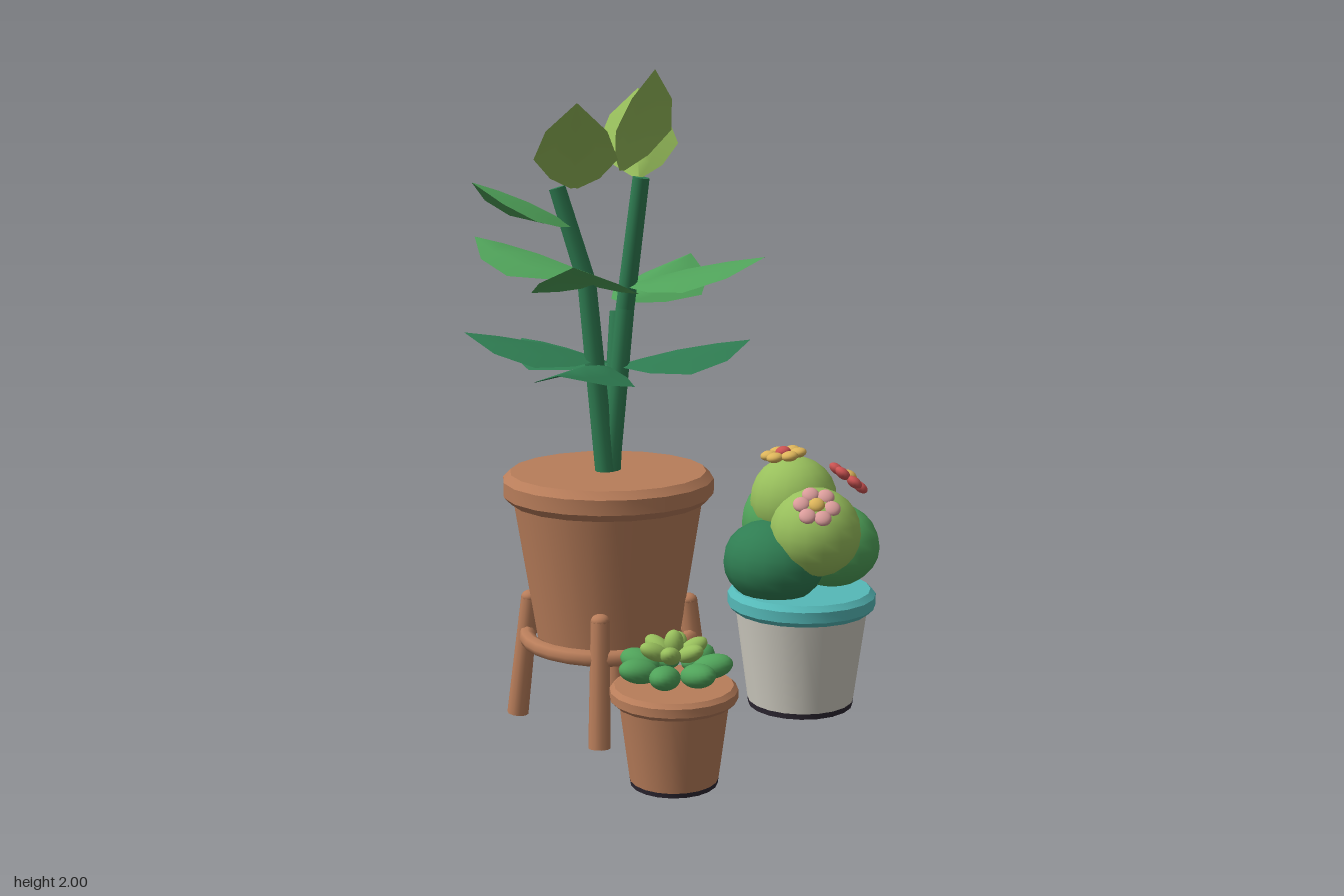
import * as THREE from 'three';
import { toCreasedNormals } from 'three/addons/utils/BufferGeometryUtils.js';

const mat = (name, color, side = THREE.FrontSide) => {
  const m = new THREE.MeshStandardMaterial({ color, side });
  m.name = name;
  return m;
};
const V = (x, y, z) => new THREE.Vector3(x, y, z);
const UP = V(0, 1, 0);

export function createModel() {
  const root = new THREE.Group();
  root.name = 'pottedPlants';
  const M = {
    clay: mat('terracotta', 0xb87d5a),
    base: mat('darkBase', 0x2c2631),
    white: mat('offWhite', 0xcfccc1),
    teal: mat('teal', 0x55b9b8),
    dark: mat('darkGreen', 0x2f7d52, THREE.DoubleSide),
    mid: mat('midGreen', 0x50a35a, THREE.DoubleSide),
    light: mat('lightGreen', 0x98bf5c, THREE.DoubleSide),
    yellow: mat('yellow', 0xdcb45a),
    red: mat('red', 0xcc5352),
    pink: mat('pink', 0xdb9d9b),
  };

  const add = (parent, name, geo, material, pos) => {
    const mesh = new THREE.Mesh(geo, material);
    mesh.name = name;
    if (pos) mesh.position.copy(pos);
    parent.add(mesh);
    return mesh;
  };
  const group = (parent, name, x = 0, y = 0, z = 0) => {
    const g = new THREE.Group();
    g.name = name;
    g.position.set(x, y, z);
    parent.add(g);
    return g;
  };
  const lathe = (pts, sides = 20) => toCreasedNormals(
    new THREE.LatheGeometry(pts.map(p => new THREE.Vector2(...p)), sides), 0.7);
  // Tapered rod between two points
  const rod = (parent, name, a, b, ra, rb, material) => {
    const d = b.clone().sub(a);
    const m = add(parent, name, new THREE.CylinderGeometry(rb, ra, d.length(), 10), material,
      a.clone().lerp(b, 0.5));
    m.quaternion.setFromUnitVectors(UP, d.normalize());
  };
  const ball = (parent, name, pos, size, material) => {
    const m = add(parent, name, new THREE.SphereGeometry(1, 16, 12), material, V(...pos));
    m.scale.set(...size);
    return m;
  };
  // Rim with softened edges and a flat closed top
  const rim = (r, y0, y1, inner) => {
    const b = (y1 - y0) * 0.25;
    return lathe([[inner, y0], [r - b, y0], [r, y0 + b], [r, y1 - b], [r - b, y1], [0, y1]]);
  };

  // Large pot
  const big = group(root, 'largePot', -0.195, 0, -0.09);
  add(big, 'potBody', lathe([[0, 0.27], [0.215, 0.27], [0.29, 0.74]], 24), M.clay);
  add(big, 'potRim', rim(0.32, 0.72, 0.81, 0.27), M.clay);

  // Stand with a ring and four splayed legs
  const stand = group(big, 'stand');
  const ring = add(stand, 'standRing', new THREE.TorusGeometry(0.252, 0.025, 8, 28), M.clay, V(0, 0.297, 0));
  ring.rotation.x = Math.PI / 2;
  for (let i = 0; i < 4; i++) {
    const a = 0.96 + i * Math.PI / 2, c = Math.cos(a), s = Math.sin(a);
    const top = V(c * 0.243, 0.41, s * 0.243);
    rod(stand, 'standLeg', V(c * 0.287, 0.035, s * 0.287), top, 0.033, 0.028, M.clay);
    ball(stand, 'legCap', top.toArray(), [0.028, 0.02, 0.028], M.clay);
  }

  // Leafy plant stems
  const plant = group(root, 'leafyPlant');
  const stems = [
    [[-0.205, 0.79, -0.09], [-0.24, 1.38, -0.13], [-0.3, 1.66, -0.19]],
    [[-0.19, 0.79, -0.09], [-0.148, 1.3, -0.06], [-0.143, 1.69, 0]],
    [[-0.185, 0.79, -0.09], [-0.09, 1.28, -0.135]],
  ];
  for (const s of stems) {
    for (let i = 0; i + 1 < s.length; i++)
      rod(plant, 'stem', V(...s[i]), V(...s[i + 1]), 0.031 - i * 0.003, 0.028 - i * 0.003, M.dark);
  }

  // Pointed leaf: ridge along the middle, edges folded down
  const leafGeo = (a, b, width, fold) => {
    const dir = b.clone().sub(a);
    const side = dir.clone().cross(UP).normalize();
    const nor = side.clone().cross(dir).normalize();
    const rows = [[0, 0.08], [0.18, 0.6], [0.45, 1], [0.75, 0.72], [1, 0.01]];
    const pos = [], idx = [];
    rows.forEach(([t, w], r) => {
      for (let j = -2; j <= 2; j++) {
        const k = j / 2 * w * width;
        const drop = -Math.abs(j / 2) * w * width * fold + Math.sin(t * Math.PI) * 0.012;
        const p = a.clone().addScaledVector(dir, t).addScaledVector(side, k).addScaledVector(nor, drop);
        pos.push(p.x, p.y, p.z);
        if (r && j < 2) {
          const n = r * 5 + j + 2;
          idx.push(n - 5, n - 4, n, n - 4, n + 1, n);
        }
      }
    });
    const g = new THREE.BufferGeometry();
    g.setAttribute('position', new THREE.Float32BufferAttribute(pos, 3));
    g.setIndex(idx);
    g.computeVertexNormals();
    return g;
  };
  const leaves = {
    light: [
      [[-0.175, 1.71, -0.05], [-0.175, 2.0, 0.08], 0.125],
      [[-0.145, 1.69, -0.01], [0.035, 1.95, -0.16], 0.12],
      [[-0.27, 1.66, -0.15], [-0.465, 1.905, 0.04], 0.12],
    ],
    mid: [
      [[-0.14, 1.32, -0.07], [0.29, 1.43, -0.157], 0.155],
      [[-0.15, 1.37, -0.05], [0.05, 1.46, 0.31], 0.155],
      [[-0.22, 1.4, -0.13], [-0.3, 1.5, -0.535], 0.155],
      [[-0.23, 1.37, -0.11], [-0.585, 1.465, 0.13], 0.155],
      [[-0.27, 1.55, -0.16], [-0.53, 1.68, -0.31], 0.14],
    ],
    dark: [
      [[-0.2, 1.13, -0.09], [-0.605, 1.165, 0.085], 0.15],
      [[-0.17, 1.13, -0.07], [0.15, 1.195, 0.185], 0.15],
      [[-0.17, 1.13, -0.11], [-0.1, 1.165, -0.535], 0.15],
      [[-0.2, 1.15, -0.11], [-0.465, 1.23, -0.42], 0.15],
    ],
  };
  for (const [tone, list] of Object.entries(leaves)) {
    for (const [a, b, w] of list)
      add(plant, tone + 'Leaf', leafGeo(V(...a), V(...b), w, 0.36), M[tone]);
  }

  // Small pot
  const small = group(root, 'smallPot', -0.425, 0, 0.352);
  add(small, 'potBase', lathe([[0, 0], [0.125, 0], [0.127, 0.014]]), M.base);
  add(small, 'potBody', lathe([[0.127, 0.014], [0.158, 0.25]]), M.clay);
  add(small, 'potRim', rim(0.182, 0.24, 0.29, 0.15), M.clay);

  // Succulent rosette
  const rosette = group(small, 'succulent');
  const whorl = (n, radius, y, size, tilt, material, start) => {
    for (let i = 0; i < n; i++) {
      const holder = group(rosette, 'rosetteLeaf', 0, y, 0);
      holder.rotation.y = -(start + i * 2 * Math.PI / n);
      ball(holder, 'leaf', [radius, 0, 0], size, material).rotation.z = tilt;
    }
  };
  whorl(7, 0.108, 0.342, [0.06, 0.034, 0.043], 0.2, M.mid, 0);
  whorl(6, 0.058, 0.39, [0.046, 0.024, 0.029], 0.45, M.light, Math.PI / 6);
  ball(rosette, 'rosetteHeart', [0, 0.41, 0], [0.028, 0.038, 0.028], M.light);

  // White pot with teal rim
  const tub = group(root, 'whitePot', 0.355, 0, 0.245);
  add(tub, 'potBase', lathe([[0, 0], [0.168, 0], [0.17, 0.018]]), M.base);
  add(tub, 'potBody', lathe([[0.17, 0.018], [0.212, 0.33]]), M.white);
  add(tub, 'potRim', rim(0.236, 0.315, 0.383, 0.2), M.teal);

  // Cactus lobes
  const cactus = group(root, 'cactus');
  ball(cactus, 'rightLobe', [0.46, 0.51, 0.28], [0.148, 0.137, 0.165], M.mid);
  ball(cactus, 'backLobe', [0.39, 0.58, 0.165], [0.15, 0.15, 0.15], M.mid);
  ball(cactus, 'leftLobe', [0.265, 0.48, 0.2], [0.155, 0.135, 0.165], M.dark);
  ball(cactus, 'frontLobe', [0.31, 0.585, 0.325], [0.143, 0.14, 0.145], M.light);
  ball(cactus, 'topLobe', [0.37, 0.66, 0.2], [0.14, 0.14, 0.14], M.light);

  // Blossoms: a ring of petals round a heart, facing outward
  const blossom = (pos, normal, petal, heart) => {
    const g = group(cactus, 'blossom', ...pos);
    g.quaternion.setFromUnitVectors(UP, V(...normal).normalize());
    for (let i = 0; i < 6; i++) {
      const a = i * Math.PI / 3;
      ball(g, 'petal', [Math.cos(a) * 0.047, 0, Math.sin(a) * 0.047], [0.027, 0.016, 0.027], petal);
    }
    ball(g, 'blossomHeart', [0, 0.008, 0], [0.025, 0.017, 0.025], heart);
  };
  blossom([0.353, 0.806, 0.17], [-0.1, 1, -0.1], M.yellow, M.red);
  blossom([0.478, 0.73, 0.335], [0.5, 0.8, 0.4], M.red, M.yellow);
  blossom([0.243, 0.685, 0.375], [-0.5, 0.75, 0.42], M.pink, M.yellow);

  return root;
}
